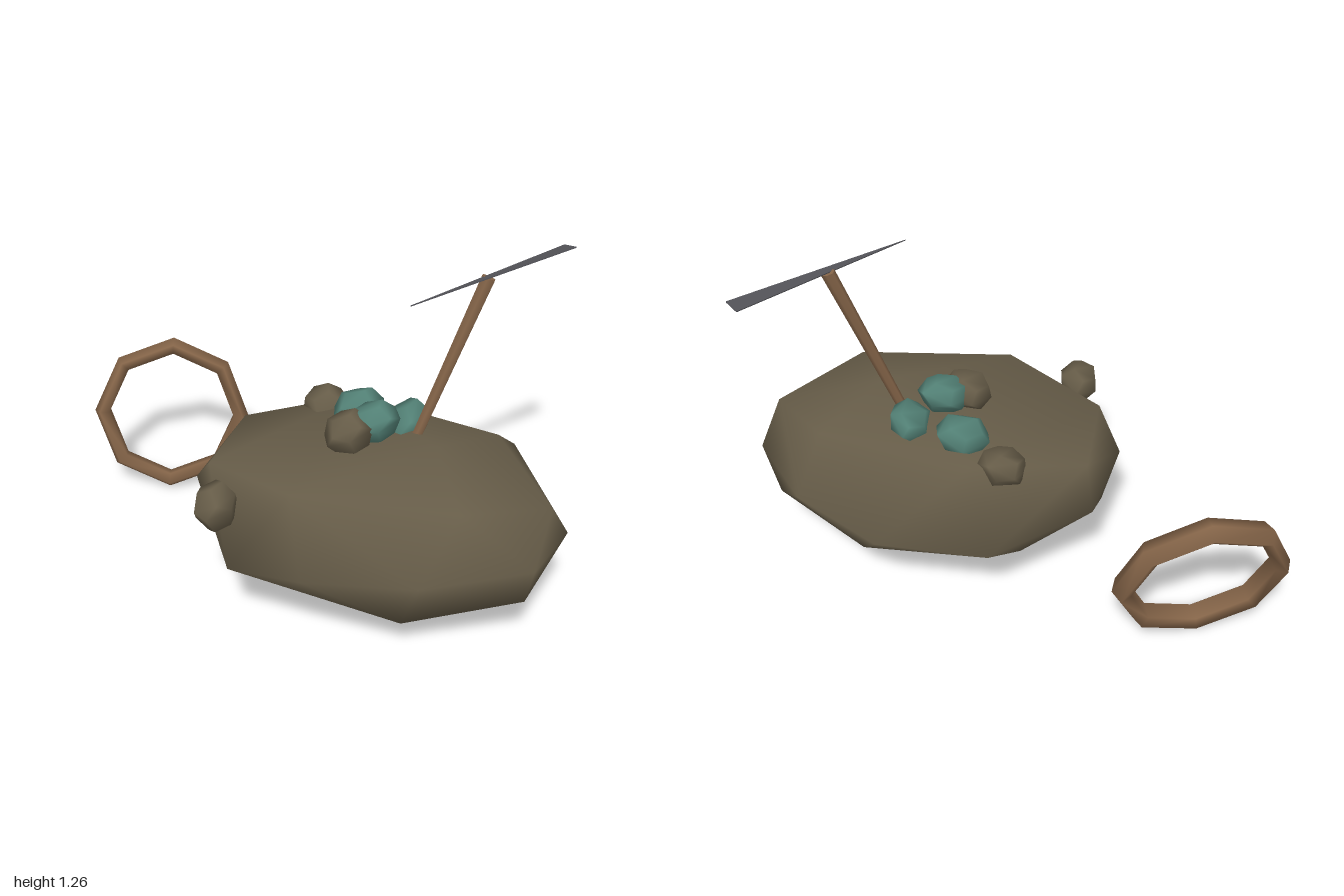
import * as THREE from 'three';
import { mergeVertices } from 'three/addons/utils/BufferGeometryUtils.js';
import { ConvexGeometry } from 'three/addons/geometries/ConvexGeometry.js';

const V = (x, y, z) => new THREE.Vector3(x, y, z);

function material(name, color) {
  const m = new THREE.MeshStandardMaterial({ color });
  m.name = name;
  return m;
}

// Weld corners so that the shading runs smoothly over the facets
function smooth(geometry) {
  geometry.deleteAttribute('normal');
  geometry.deleteAttribute('uv');
  const welded = mergeVertices(geometry, 1e-4);
  welded.computeVertexNormals();
  return welded;
}

export function createModel() {
  const group = new THREE.Group();
  const earth = material('earthBrown', 0x665c48);
  const wood = material('woodBrown', 0x846448);
  const ore = material('oreTeal', 0x528075);
  const iron = material('ironGrey', 0x535358);
  iron.side = THREE.DoubleSide;

  const add = (name, geometry, mat) => {
    const mesh = new THREE.Mesh(geometry, mat);
    mesh.name = name;
    group.add(mesh);
    return mesh;
  };

  // Mound: point-symmetric boulder, each corner has an opposite one
  const centre = V(0.325, 0.373, 0.03);
  const corners = [
    V(0.53, 0.66, 0.03), V(-0.35, 0.39, 0.12), V(0.945, 0.395, 0.26),
    V(0.95, 0.51, 0.04), V(0.62, 0.43, 0.53), V(0.23, 0.39, 0.58),
    V(-0.07, 0.3, 0.49), V(-0.255, 0.525, 0.21), V(-0.265, 0.52, -0.15),
    V(0.12, 0.59, 0.39), V(0.12, 0.59, -0.33), V(0.69, 0.59, 0.3), V(0.69, 0.59, -0.24),
  ];
  const opposite = corners.map((p) => centre.clone().multiplyScalar(2).sub(p));
  add('mound', smooth(new ConvexGeometry([...corners, ...opposite])), earth);

  // Loose stones and ore lumps: squashed, turned dodecahedra
  const lump = (name, mat, pos, size, turn) => {
    const mesh = add(name, smooth(new THREE.DodecahedronGeometry(1)), mat);
    mesh.position.set(...pos);
    mesh.scale.set(...size);
    mesh.rotation.set(...turn);
  };
  lump('edgeStone', earth, [-0.145, 0.492, 0.405], [0.078, 0.085, 0.1], [0.3, 0.2, 0.4]);
  lump('backStone', earth, [0.02, 0.56, -0.265], [0.09, 0.078, 0.09], [0.5, 0.8, 0.1]);
  lump('topStone', earth, [0.21, 0.657, 0.038], [0.092, 0.08, 0.092], [0.2, 0.5, 0.3]);
  lump('oreLump', ore, [0.175, 0.625, -0.19], [0.1, 0.075, 0.09], [0.1, 0.3, 0.2]);
  lump('oreLump', ore, [0.28, 0.675, -0.03], [0.1, 0.075, 0.08], [0.4, 0.6, 0.1]);
  lump('oreLump', ore, [0.375, 0.63, -0.15], [0.08, 0.065, 0.115], [0.2, 0.1, 0.5]);

  // Tool handle: oval in section, wider at the head
  const foot = V(0.425, 0.61, -0.063);
  const head = V(0.618, 1.225, -0.183);
  const along = head.clone().sub(foot);
  const handle = add('handle', new THREE.CylinderGeometry(0.026, 0.019, along.length(), 6), wood);
  handle.scale.z = 0.75;
  handle.position.copy(foot).lerp(head, 0.5);
  handle.quaternion.setFromUnitVectors(V(0, 1, 0), along.normalize());

  // Tool blade: long thin wedge lying across the handle, rolled slightly
  const inner = V(0.81, 1.243, -0.5);
  const outer = V(0.855, 1.254, -0.47);
  const tip = V(0.43, 1.215, 0.1);
  const end = inner.clone().lerp(outer, 0.5);
  const yAxis = tip.clone().sub(end);
  const length = yAxis.length();
  yAxis.normalize();
  const zAxis = outer.clone().sub(inner).cross(yAxis).normalize();
  const xAxis = yAxis.clone().cross(zAxis);
  const wedge = new THREE.Shape([
    new THREE.Vector2(-0.029, 0), new THREE.Vector2(0.029, 0), new THREE.Vector2(0, length),
  ]);
  const bladeGeo = new THREE.ExtrudeGeometry(wedge, { depth: 0.004, bevelEnabled: false });
  bladeGeo.translate(0, 0, -0.002);
  bladeGeo.applyMatrix4(new THREE.Matrix4().makeBasis(xAxis, yAxis, zAxis).setPosition(end));
  add('blade', bladeGeo, iron);

  // Leaning wooden hoop, broader than it is thick
  const hoop = add('hoop', new THREE.TorusGeometry(0.284, 0.034, 5, 8), wood);
  hoop.scale.z = 1.5;
  hoop.position.set(-0.705, 0.3, -0.4);
  hoop.quaternion.setFromUnitVectors(V(0, 0, 1), V(0.37, 0.28, 0.88).normalize());

  return group;
}
